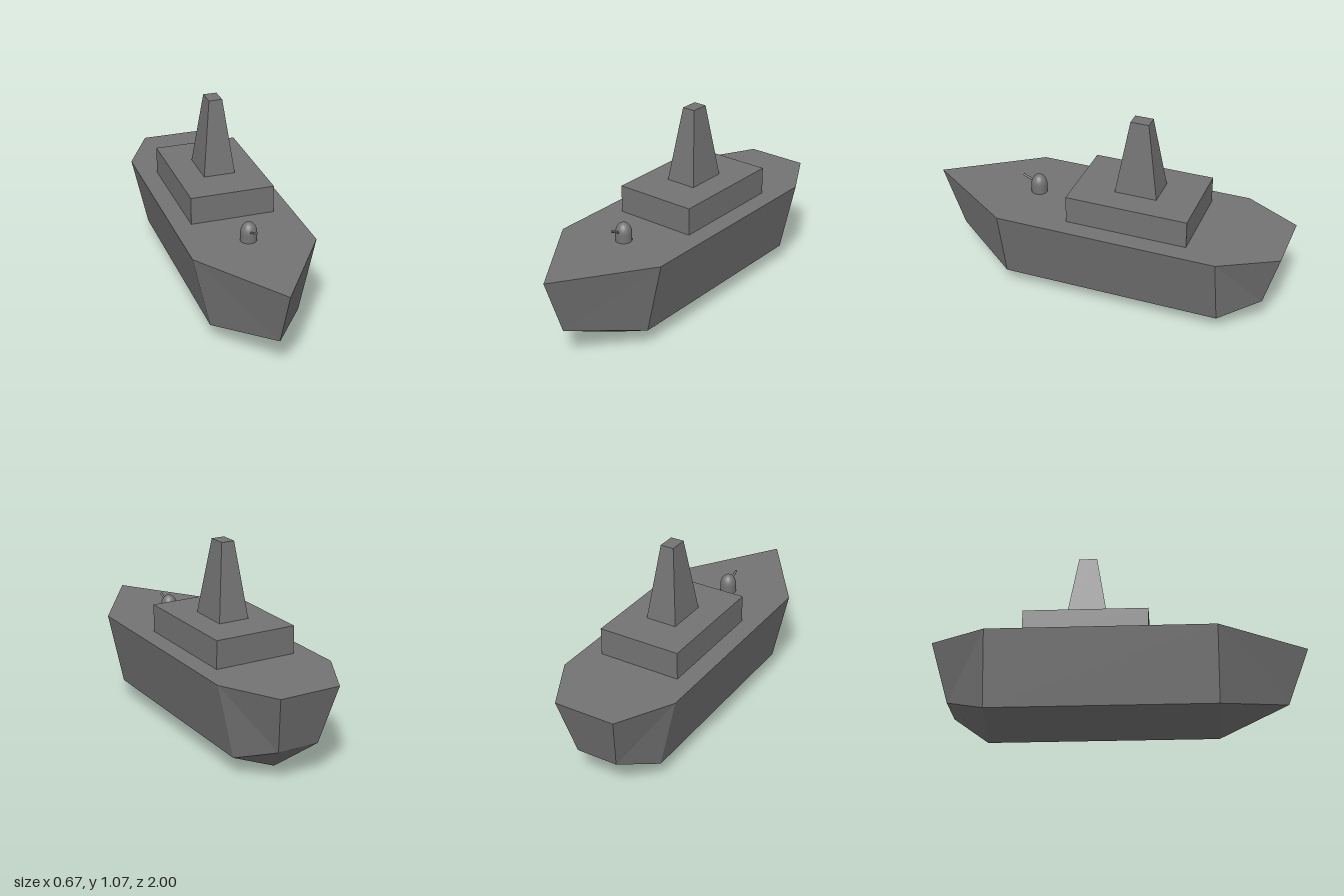
import * as THREE from 'three';

const DECK = 0.505;
const GREY = 0x737373;
const flat = new THREE.MeshStandardMaterial({ color: GREY, flatShading: true });
const smooth = new THREE.MeshStandardMaterial({ color: GREY });

function part(name, geometry, material, x = 0, y = 0, z = 0) {
  const mesh = new THREE.Mesh(geometry, material);
  mesh.name = name;
  mesh.position.set(x, y, z);
  return mesh;
}

// Half cross-section: deck centre, deck edge, chine, keel
const station = (zDeck, xDeck, zLow, xChine, yChine, yKeel) => [
  [0, DECK, zDeck], [xDeck, DECK, zDeck], [xChine, yChine, zLow], [0, yKeel, zLow],
].map((p) => new THREE.Vector3(...p));

// Faceted hull skinned between stations, mirrored across x
function hullGeometry() {
  const stations = [
    station(1, 0, 0.88, 0, 0.183, 0.183),
    station(0.51, 0.333, 0.51, 0.243, 0.101, 0),
    station(-0.7, 0.333, -0.7, 0.243, 0.101, 0),
    station(-1, 0.17, -0.91, 0.116, 0.183, 0.183),
  ];
  const positions = [];
  const tri = (a, b, c) => {
    if (new THREE.Triangle(a, b, c).getArea() < 1e-6) return;
    for (const p of [a, b, c]) positions.push(p.x, p.y, p.z);
    for (const p of [a, c, b]) positions.push(-p.x, p.y, p.z);
  };
  for (let i = 0; i < 3; i++) {
    const [a, b] = [stations[i], stations[i + 1]];
    for (let j = 0; j < 3; j++) {
      const [p, q, r, s] = [a[j], a[j + 1], b[j + 1], b[j]];
      // The bow and the bottom fold along the other diagonal
      if (i === 0 || j === 2) {
        tri(p, q, s);
        tri(q, r, s);
      } else {
        tri(p, q, r);
        tri(p, r, s);
      }
    }
  }
  // Transom
  const [c, d, e, k] = stations[3];
  tri(c, d, e);
  tri(c, e, k);
  const g = new THREE.BufferGeometry();
  g.setAttribute('position', new THREE.Float32BufferAttribute(positions, 3));
  g.computeVertexNormals();
  return g;
}

// Box whose top face shrinks to a smaller rectangle
function taperedBox(w, h, d, topW, topD) {
  const g = new THREE.BoxGeometry(w, h, d);
  const pos = g.attributes.position;
  for (let i = 0; i < pos.count; i++) {
    if (pos.getY(i) > 0) {
      pos.setX(i, Math.sign(pos.getX(i)) * topW / 2);
      pos.setZ(i, Math.sign(pos.getZ(i)) * topD / 2);
    }
  }
  g.computeVertexNormals();
  return g;
}

// Gun turret with a tall oval dome and a raised barrel
function createTurret() {
  const turret = new THREE.Group();
  turret.name = 'turret';
  const r = 0.044, wall = 0.043, domeH = 0.06;
  const profile = [new THREE.Vector2(r, 0)];
  for (let i = 0; i <= 10; i++) {
    const a = (i / 10) * Math.PI / 2;
    profile.push(new THREE.Vector2(i === 10 ? 0 : r * Math.cos(a), wall + domeH * Math.sin(a)));
  }
  turret.add(part('turretDome', new THREE.LatheGeometry(profile, 32), smooth));

  const start = new THREE.Vector3(0, 0.049, 0.015);
  const end = new THREE.Vector3(0, 0.085, 0.092);
  const dir = end.clone().sub(start);
  const barrel = part('gunBarrel', new THREE.CylinderGeometry(0.006, 0.006, dir.length(), 12), smooth);
  barrel.position.copy(start).add(end).multiplyScalar(0.5);
  barrel.quaternion.setFromUnitVectors(new THREE.Vector3(0, 1, 0), dir.normalize());
  turret.add(barrel);
  turret.position.set(0, DECK, 0.405);
  return turret;
}

export function createModel() {
  const ship = new THREE.Group();
  ship.name = 'warship';
  const cabinH = 0.152, towerH = 0.409;
  ship.add(
    part('hull', hullGeometry(), flat),
    part('cabin', new THREE.BoxGeometry(0.46, cabinH, 0.667), flat, 0, DECK + cabinH / 2, -0.181),
    part('tower', taperedBox(0.174, towerH, 0.232, 0.074, 0.1), flat, 0, DECK + cabinH + towerH / 2, -0.185),
    createTurret(),
  );
  return ship;
}
